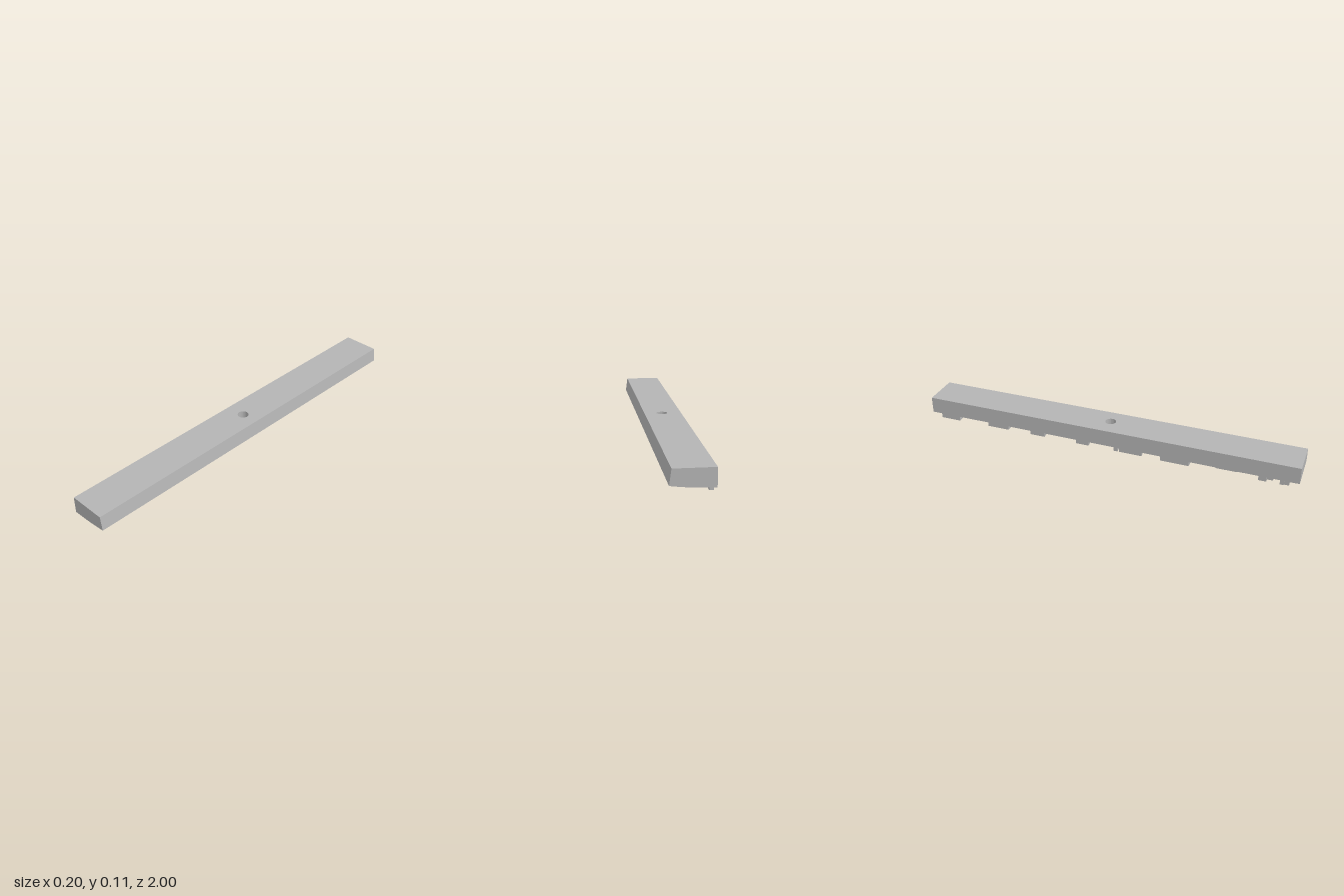
import * as THREE from 'three';
import { toCreasedNormals } from 'three/addons/utils/BufferGeometryUtils.js';

const TOP = 0.115, HALF = 0.1, HOLE = 0.028, RELIEF = 0.0275;

// gently curved underside
const under = (x) => 0.028 + 0.014 * ((x + HALF) / 0.2) ** 2;

// solid length of the bar, from z0 to z1
function barGeometry(z0, z1) {
  const s = new THREE.Shape();
  s.moveTo(-HALF, TOP);
  for (let i = 0; i <= 12; i++) {
    const x = -HALF + (i / 12) * 2 * HALF;
    s.lineTo(x, under(x));
  }
  s.lineTo(0.09, TOP);
  const g = new THREE.ExtrudeGeometry(s, { depth: z1 - z0, bevelEnabled: false });
  g.translate(0, 0, z0);
  return toCreasedNormals(g, 0.5);
}

// middle of the bar: rings running from the round hole to a square outline
function holeGeometry() {
  const pos = [], N = 32, R = 4;
  const quad = (a, b, c, d) => [a, b, c, a, c, d].forEach((p) => pos.push(...p));
  const point = (i, r, isTop) => {
    const t = (i / N) * Math.PI * 2, c = Math.cos(t), s = Math.sin(t);
    const m = HALF / Math.max(Math.abs(c), Math.abs(s)), k = r / R;
    let ox = c * m;
    if (isTop && ox > 0) ox *= 0.9;
    const x = THREE.MathUtils.lerp(c * HOLE, ox, k);
    const z = THREE.MathUtils.lerp(s * HOLE, s * m, k);
    return [x, isTop ? TOP : under(x), z];
  };
  for (let i = 0; i < N; i++) {
    const T = (a, r) => point(i + a, r, true), B = (a, r) => point(i + a, r, false);
    for (let r = 0; r < R; r++) {
      quad(T(0, r), T(1, r), T(1, r + 1), T(0, r + 1));
      quad(B(0, r), B(0, r + 1), B(1, r + 1), B(1, r));
    }
    quad(B(0, 0), B(1, 0), T(1, 0), T(0, 0));
    const side = Math.abs(Math.cos(((i + 0.5) / N) * Math.PI * 2)) > Math.SQRT1_2;
    if (side) quad(B(0, R), T(0, R), T(1, R), B(1, R));
  }
  const g = new THREE.BufferGeometry();
  g.setAttribute('position', new THREE.Float32BufferAttribute(pos, 3));
  return toCreasedNormals(g, 0.5);
}

// raised strip that follows the underside
function stripGeometry(x0, x1, z0, z1) {
  const g = new THREE.BoxGeometry(x1 - x0, 1, z1 - z0, 4, 1, 1);
  g.translate((x0 + x1) / 2, 0, (z0 + z1) / 2);
  const p = g.attributes.position;
  for (let i = 0; i < p.count; i++) {
    p.setY(i, under(p.getX(i)) + (p.getY(i) < 0 ? -RELIEF : 0.002));
  }
  g.computeVertexNormals();
  return g;
}

// relief patterns: strips as x0, x1, z0, z1
const reliefs = [
  // stepped pattern near the front
  [[-0.095, -0.075, 0.8, 0.84], [-0.075, -0.055, 0.8, 0.87], [-0.055, -0.035, 0.85, 0.9],
    [-0.095, -0.03, 0.905, 0.925], [-0.09, -0.07, 0.925, 0.95], [-0.035, -0.01, 0.88, 0.9]],
  // wide frame
  [[0.0, 0.05, 0.58, 0.69], [-0.065, 0.0, 0.58, 0.6], [-0.065, 0.0, 0.67, 0.69],
    [-0.025, -0.01, 0.6, 0.67], [-0.065, -0.045, 0.6, 0.67]],
  // open bracket
  [[-0.095, -0.075, 0.3, 0.45], [-0.075, -0.03, 0.36, 0.38], [-0.075, -0.03, 0.43, 0.45],
    [-0.03, -0.012, 0.36, 0.45]],
  // forked pattern
  [[-0.09, -0.07, 0.08, 0.2], [-0.07, -0.02, 0.17, 0.19], [-0.07, -0.03, 0.12, 0.14],
    [-0.09, -0.04, 0.05, 0.07], [-0.03, 0.0, 0.06, 0.08], [-0.02, 0.0, 0.15, 0.19]],
  // angle
  [[-0.09, -0.07, -0.16, -0.09], [-0.07, -0.01, -0.16, -0.14], [-0.03, 0.0, -0.14, -0.09]],
  // small frame
  [[-0.09, -0.07, -0.42, -0.34], [-0.07, -0.03, -0.42, -0.4], [-0.07, -0.03, -0.36, -0.34],
    [-0.03, -0.012, -0.42, -0.34]],
  // three-sided frame
  [[-0.09, -0.07, -0.67, -0.55], [-0.07, -0.03, -0.57, -0.55], [-0.03, -0.012, -0.65, -0.55],
    [-0.05, -0.03, -0.65, -0.63]],
  // hooked pattern near the back
  [[-0.095, -0.075, -0.95, -0.84], [-0.075, -0.03, -0.86, -0.84], [-0.03, -0.01, -0.91, -0.84],
    [-0.075, -0.05, -0.91, -0.89]],
];

export function createModel() {
  const model = new THREE.Group();
  model.name = 'reliefBar';
  const grey = new THREE.MeshStandardMaterial({ color: 0xb4b4b4 });
  grey.name = 'grey';
  const add = (parent, name, geometry) => {
    const mesh = new THREE.Mesh(geometry, grey);
    mesh.name = name;
    parent.add(mesh);
  };

  add(model, 'frontBar', barGeometry(HALF, 1));
  add(model, 'backBar', barGeometry(-1, -HALF));
  add(model, 'middleWithHole', holeGeometry());

  reliefs.forEach((strips, i) => {
    const relief = new THREE.Group();
    relief.name = `relief${i + 1}`;
    strips.forEach((s) => add(relief, 'reliefStrip', stripGeometry(...s)));
    model.add(relief);
  });
  return model;
}
